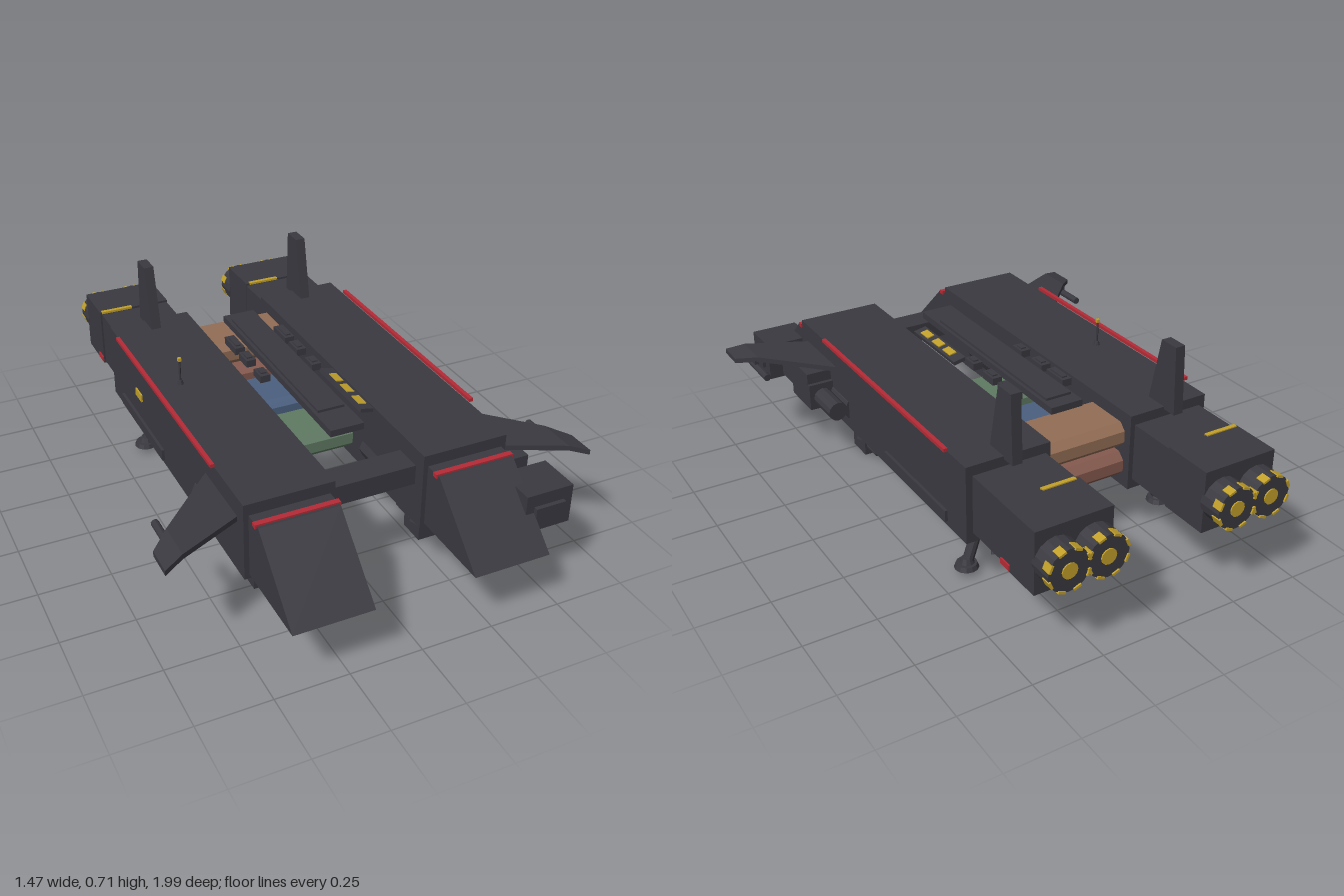
import * as THREE from 'three';

const mat = (name, color) => {
  const m = new THREE.MeshStandardMaterial({ color, flatShading: true });
  m.name = name;
  return m;
};

export function createModel() {
  const root = new THREE.Group();
  root.name = 'twinHullFreighter';
  const hull = mat('hullGrey', 0x3a3940);
  const red = mat('trimRed', 0xb42b36);
  const yellow = mat('markingYellow', 0xc2a02a);
  const green = mat('cargoGreen', 0x5f7a62);
  const blue = mat('cargoBlue', 0x4a6080);
  const tan = mat('cargoTan', 0x936d55);
  const rust = mat('cargoRust', 0x85594e);

  const add = (name, geo, m) => {
    const mesh = new THREE.Mesh(geo, m);
    mesh.name = name;
    root.add(mesh);
    return mesh;
  };
  // Box given by its minimum and maximum on each axis
  const box = (name, m, x0, x1, y0, y1, z0, z1) => {
    const mesh = add(name, new THREE.BoxGeometry(Math.abs(x1 - x0), y1 - y0, Math.abs(z1 - z0)), m);
    mesh.position.set((x0 + x1) / 2, (y0 + y1) / 2, (z0 + z1) / 2);
    return mesh;
  };
  // Side profile of [z, y] points, extruded across x
  const prism = (name, m, pts, width, x) => {
    const shape = new THREE.Shape(pts.map(p => new THREE.Vector2(p[0], p[1])));
    const geo = new THREE.ExtrudeGeometry(shape, { depth: width, bevelEnabled: false });
    geo.rotateY(-Math.PI / 2).translate(width / 2, 0, 0);
    const mesh = add(name, geo, m);
    mesh.position.x = x;
    return mesh;
  };
  // Round bar between two points
  const bar = (name, m, a, b, r0, r1 = r0, sides = 10) => {
    const A = new THREE.Vector3(...a), B = new THREE.Vector3(...b);
    const mesh = add(name, new THREE.CylinderGeometry(r1, r0, A.distanceTo(B), sides), m);
    mesh.position.copy(A).lerp(B, 0.5);
    mesh.quaternion.setFromUnitVectors(new THREE.Vector3(0, 1, 0), B.clone().sub(A).normalize());
    return mesh;
  };
  // Cargo container with chamfered long edges
  const container = (name, m, y0, y1, z0, z1) => {
    const c = 0.025;
    prism(name, m, [[z0 + c, y0], [z1 - c, y0], [z1, y0 + c], [z1, y1 - c], [z1 - c, y1],
      [z0 + c, y1], [z0, y1 - c], [z0, y0 + c]], 0.32, 0);
  };

  for (const s of [1, -1]) {
    // Hull, wedge nose and engine block
    box('hull', hull, s * 0.155, s * 0.458, 0.205, 0.48, -0.55, 0.695);
    prism('nose', hull, [[0.6, 0.22], [1, 0.22], [0.765, 0.44], [0.6, 0.44]], 0.27, s * 0.306);
    box('noseStripe', red, s * 0.165, s * 0.447, 0.432, 0.446, 0.735, 0.755);
    box('engineNeck', hull, s * 0.172, s * 0.435, 0.24, 0.445, -0.74, -0.54);
    box('engineBlock', hull, s * 0.17, s * 0.442, 0.235, 0.453, -0.91, -0.73);
    box('engineStripe', yellow, s * 0.31 - 0.125, s * 0.31 - 0.005, 0.449, 0.457, -0.74, -0.725);
    box('engineLight', red, s * 0.44, s * 0.447, 0.243, 0.262, -0.78, -0.73);

    // Paired thrusters with yellow cores and rim tabs
    for (const x of [0.238, 0.372]) {
      bar('thruster', hull, [s * x, 0.345, -0.9], [s * x, 0.345, -0.985], 0.073, 0.073, 16);
      bar('thrusterCore', yellow, [s * x, 0.345, -0.98], [s * x, 0.345, -0.989], 0.027, 0.027, 12);
      for (let i = 0; i < 8; i++) {
        const a = (i + 0.5) * Math.PI / 4;
        const tab = add('thrusterTab', new THREE.BoxGeometry(0.008, 0.026, 0.035), yellow);
        tab.position.set(s * x + Math.cos(a) * 0.07, 0.345 + Math.sin(a) * 0.07, -0.973);
        tab.rotation.z = a;
      }
    }

    // Tail fin
    prism('tailFin', hull, [[-0.6, 0.47], [-0.465, 0.47], [-0.515, 0.708], [-0.588, 0.708]], 0.036, s * 0.306);

    // Swept wing, bent down at the tip
    const wing = new THREE.BoxGeometry(1, 0.018, 1, 2, 1, 1);
    const p = wing.attributes.position;
    const stations = [[0.44, 0.375, 0.64, 0.403], [0.67, 0.615, 0.75, 0.403], [0.735, 0.68, 0.78, 0.386]];
    for (let i = 0; i < p.count; i++) {
      const [x, z0, z1, y] = stations[Math.round((s * p.getX(i) + 0.5) * 2)];
      p.setXYZ(i, s * x, y + p.getY(i), p.getZ(i) < 0 ? z0 : z1);
    }
    wing.computeVertexNormals();
    add('wing', wing, hull);
    bar('wingGun', hull, [s * 0.674, 0.37, 0.52], [s * 0.674, 0.37, 0.69], 0.013);
    box('wingGunMount', hull, s * 0.667, s * 0.681, 0.37, 0.398, 0.62, 0.68);
    bar('wingGunTip', green, [s * 0.674, 0.37, 0.688], [s * 0.674, 0.37, 0.693], 0.008);

    // Side fittings
    box('edgeTrim', red, s * 0.458, s * 0.472, 0.482, 0.494, -0.44, 0.475);
    box('sideRail', hull, s * 0.45, s * 0.468, 0.222, 0.262, -0.43, 0);
    for (const x of [0.188, 0.43])
      bar('sideTank', hull, [s * x, 0.28, 0.3], [s * x, 0.28, 0.49], 0.045, 0.045, 8);

    // Front turret leg
    box('frontLegHousing', hull, s * 0.25, s * 0.368, 0.115, 0.21, 0.41, 0.525);
    bar('frontLegCone', hull, [s * 0.31, 0.05, 0.47], [s * 0.31, 0.12, 0.47], 0.052, 0.036, 8);
    box('frontFoot', hull, s * 0.266, s * 0.352, 0, 0.052, 0.42, 0.52);
    for (const x of [0.285, 0.335])
      bar('footBarrel', hull, [s * x, 0.037, 0.345], [s * x, 0.037, 0.43], 0.01);

    // Rear landing leg
    bar('rearLeg', hull, [s * 0.325, 0.21, -0.42], [s * 0.387, 0.035, -0.425], 0.019);
    bar('rearBrace', hull, [s * 0.32, 0.21, -0.455], [s * 0.34, 0.1, -0.51], 0.006);
    bar('rearPad', hull, [s * 0.39, 0.02, -0.425], [s * 0.39, 0.036, -0.425], 0.042, 0.036, 12);
    bar('rearPadHub', hull, [s * 0.388, 0.034, -0.425], [s * 0.388, 0.055, -0.425], 0.026, 0.018, 10);
  }

  // Cargo between the hulls
  container('upperCargo', tan, 0.345, 0.436, -0.52, -0.31);
  container('rearCargo', rust, 0.235, 0.325, -0.52, -0.31);
  container('middleCargo', blue, 0.235, 0.325, -0.25, -0.035);
  container('frontCargo', green, 0.235, 0.325, 0.02, 0.23);
  box('crossBeam', hull, -0.17, 0.17, 0.35, 0.42, 0.55, 0.65);

  // Spine and its side pods
  box('spine', hull, -0.06, 0.06, 0.482, 0.506, -0.41, 0.475);
  box('spineCap', hull, -0.048, 0.048, 0.505, 0.515, -0.36, 0.36);
  for (const x of [-0.1, 0.095])
    for (const [z0, z1] of [[-0.26, -0.16], [-0.13, -0.06], [0, 0.06]]) {
      box('spinePod', hull, x - 0.018, x + 0.018, 0.477, 0.503, z0, z1);
      box('spinePodCap', hull, x - 0.01, x + 0.01, 0.5, 0.508, z0 + 0.015, z1 - 0.015);
    }
  const strip = box('windowStrip', hull, 0.098, 0.146, 0.476, 0.49, 0.08, 0.38);
  strip.rotation.z = -0.2;
  for (const z of [0.155, 0.235, 0.32]) {
    const w = box('spineWindow', yellow, 0.109, 0.137, 0.487, 0.494, z - 0.027, z + 0.027);
    w.rotation.z = -0.2;
  }

  // Antenna and side window on the right hull
  bar('antenna', hull, [-0.37, 0.48, -0.05], [-0.37, 0.57, -0.05], 0.004, 0.004, 6);
  bar('antennaBase', hull, [-0.37, 0.478, -0.05], [-0.37, 0.495, -0.05], 0.012, 0.008, 8);
  box('antennaTip', yellow, -0.376, -0.364, 0.568, 0.58, -0.056, -0.044);
  box('sideWindow', yellow, -0.464, -0.457, 0.342, 0.37, -0.27, -0.21);

  // Heavy cannon on the left hull
  bar('cannonTail', hull, [0.5, 0.285, 0.3], [0.5, 0.285, 0.46], 0.035, 0.035, 12);
  box('cannonBody', hull, 0.45, 0.55, 0.242, 0.34, 0.435, 0.6);
  box('cannonArm', hull, 0.45, 0.53, 0.25, 0.33, 0.58, 0.77);
  box('cannonBrace', hull, 0.45, 0.55, 0.335, 0.38, 0.45, 0.7);
  box('cannonHead', hull, 0.41, 0.582, 0.24, 0.38, 0.75, 0.9);
  box('cannonMuzzle', hull, 0.44, 0.55, 0.272, 0.335, 0.89, 0.915);
  box('cannonCheek', hull, 0.575, 0.594, 0.275, 0.335, 0.79, 0.86);

  return root;
}
